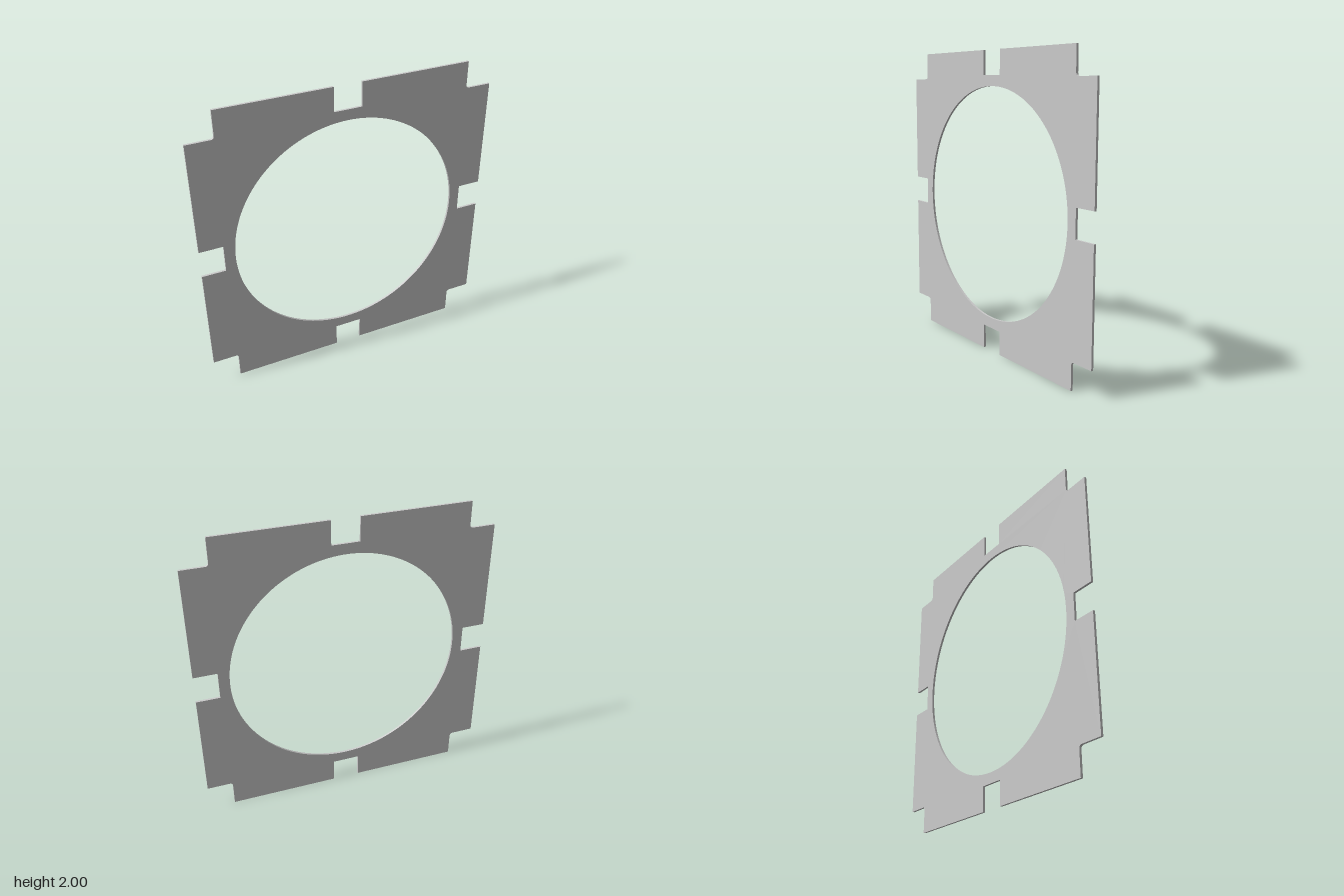
import * as THREE from 'three';

const HALF_W = 0.995, HALF_H = 1;   // outer half sizes
const STEP = 0.822;                 // where the corner cut-outs begin
const SLOT = 0.092, SLOT_END = 0.84; // slot half width and inner end
const FILLET = 0.02, HOLE = 0.77, THICK = 0.015;

export function createModel() {
  const group = new THREE.Group();
  group.name = 'slottedPlate';

  // One quarter of the outline, counter-clockwise from right slot to top slot
  const quarter = [
    [SLOT_END, SLOT], [HALF_W, SLOT], [HALF_W, STEP], [STEP + FILLET, STEP],
  ];
  for (let i = 1; i <= 4; i++) { // small fillet in the inner corner
    const a = (i / 4) * Math.PI / 2;
    quarter.push([STEP + FILLET * (1 - Math.sin(a)), STEP + FILLET * (1 - Math.cos(a))]);
  }
  quarter.push([STEP, HALF_H], [SLOT, HALF_H], [SLOT, SLOT_END]);

  // Mirror the quarter into all four, reversing order where a mirror flips it
  const outline = [];
  for (const [sx, sy] of [[1, 1], [-1, 1], [-1, -1], [1, -1]]) {
    const pts = quarter.map(([x, y]) => new THREE.Vector2(sx * x, sy * y));
    outline.push(...(sx * sy > 0 ? pts : pts.reverse()));
  }

  // Plate with a large round opening
  const shape = new THREE.Shape(outline);
  const hole = new THREE.Path();
  hole.absarc(0, 0, HOLE, 0, Math.PI * 2, true);
  shape.holes.push(hole);

  const geometry = new THREE.ExtrudeGeometry(shape, {
    depth: THICK, bevelEnabled: false, curveSegments: 96,
  });
  geometry.translate(0, HALF_H, -THICK / 2);

  const plate = new THREE.Mesh(geometry, new THREE.MeshStandardMaterial({ color: 0xcccccc }));
  plate.name = 'plate';
  group.add(plate);
  return group;
}
